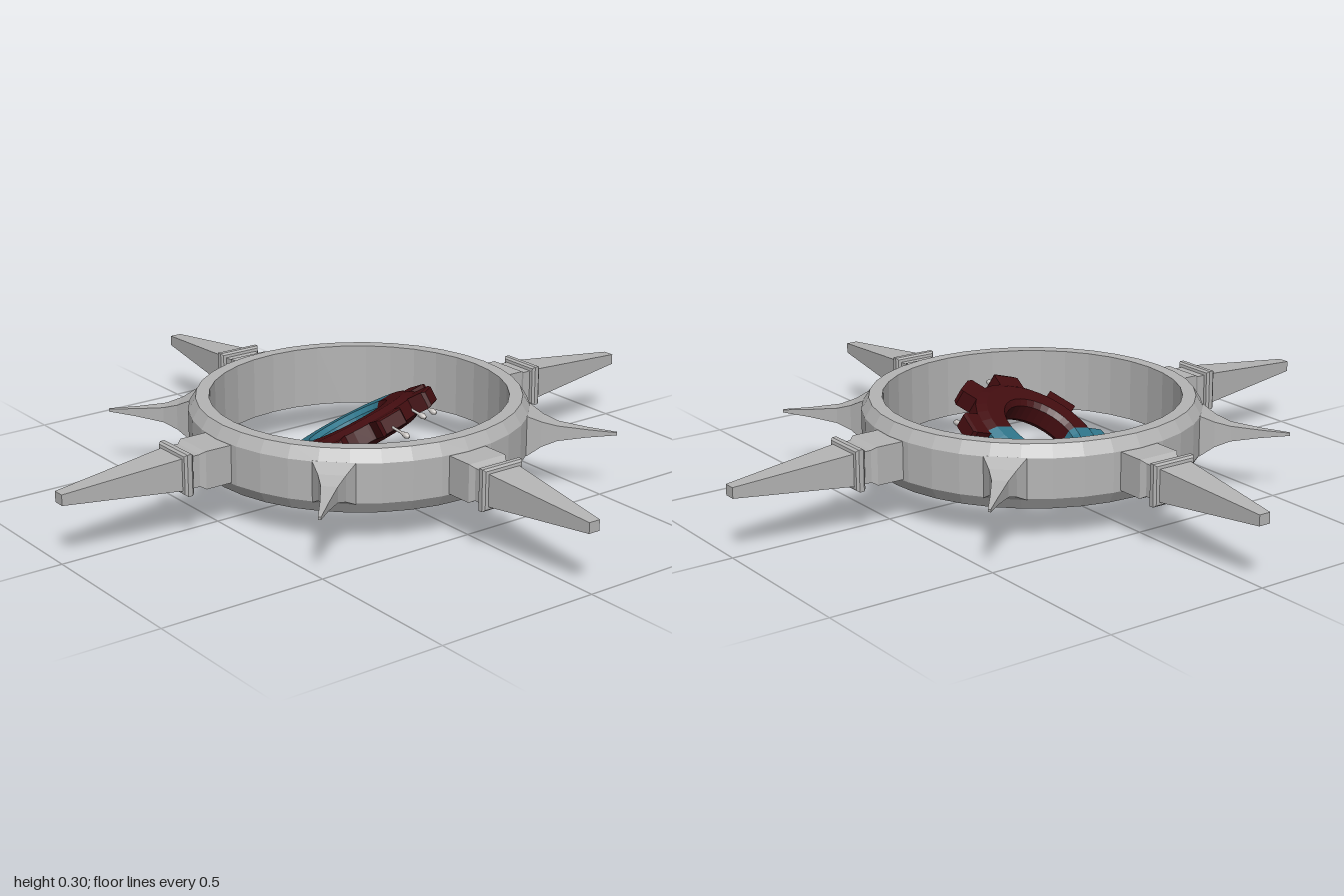
import * as THREE from 'three';

const metal = new THREE.MeshStandardMaterial({ color: 0xb4b4b4 });
metal.name = 'grey metal';
const blue = new THREE.MeshStandardMaterial({ color: 0x30768b });
blue.name = 'teal blue';
const red = new THREE.MeshStandardMaterial({ color: 0x430d10 });
red.name = 'dark red';
const pale = new THREE.MeshStandardMaterial({ color: 0xc9c5c2 });
pale.name = 'pale grey';

const rad = THREE.MathUtils.degToRad;

function flat(geometry) {
  const g = geometry.toNonIndexed();
  g.computeVertexNormals();
  return g;
}

function addMesh(parent, name, geometry, material) {
  const m = new THREE.Mesh(geometry, material);
  m.name = name;
  parent.add(m);
  return m;
}

// Revolved profile of [radius, height] pairs, with faceted faces
function lathe(points, segments, start = 0, length = Math.PI * 2) {
  const profile = points.map(([r, y]) => new THREE.Vector2(r, y));
  return flat(new THREE.LatheGeometry(profile, segments, start, length));
}

// Four-sided spike along +x from [half width, distance] pairs
function squareSpike(points, heightRatio) {
  const g = lathe(points.map(([w, d]) => [w * Math.SQRT2, d]), 4, Math.PI / 4);
  g.scale(heightRatio, 1, 1);
  g.rotateZ(-Math.PI / 2);
  g.computeVertexNormals();
  return g;
}

export function createModel() {
  const model = new THREE.Group();
  model.name = 'spikedRingWithGear';

  // Outer ring with chamfered rims
  const ring = new THREE.Group();
  ring.name = 'spikedRing';
  ring.position.y = 0.198;
  model.add(ring);
  addMesh(ring, 'outerRing', lathe([
    [0.437, -0.093], [0.476, -0.093], [0.498, -0.058], [0.498, 0.058],
    [0.476, 0.093], [0.437, 0.093], [0.437, -0.093],
  ], 36), metal);

  // Four long collared arms and four short flared thorns
  const armShape = squareSpike([
    [0, 0.46], [0.064, 0.46], [0.064, 0.575], [0.054, 0.59], [0.054, 0.616],
    [0.064, 0.617], [0.07, 0.624], [0.07, 0.638], [0.064, 0.645], [0.054, 0.646],
    [0.018, 1], [0, 1],
  ], 0.87);
  const thornShape = squareSpike([
    [0, 0.455], [0.06, 0.455], [0.06, 0.495], [0.038, 0.535], [0.023, 0.58],
    [0.012, 0.665], [0.004, 0.75], [0, 0.75],
  ], 1);
  for (let i = 0; i < 4; i++) {
    addMesh(ring, 'longArm', armShape, metal).rotation.y = rad(90 * i);
    addMesh(ring, 'thorn', thornShape, metal).rotation.y = rad(90 * i + 45);
  }

  // Tilted two-tone gear: front right raised, rear lowered
  const gear = new THREE.Group();
  gear.name = 'gear';
  const axisX = new THREE.Vector3(0.2275, 0.067, 0.006).normalize();
  const normal = new THREE.Vector3(-0.244, 0.866, -0.436);
  const axisZ = new THREE.Vector3().crossVectors(axisX, normal).normalize();
  normal.crossVectors(axisZ, axisX);
  gear.quaternion.setFromRotationMatrix(new THREE.Matrix4().makeBasis(axisX, normal, axisZ));
  gear.position.set(0, 0.158, -0.025);
  model.add(gear);

  const body = [
    [0.113, -0.025], [0.128, -0.04], [0.185, -0.04], [0.213, -0.024],
    [0.213, 0.024], [0.185, 0.04], [0.128, 0.04], [0.113, 0.025], [0.113, -0.025],
  ];
  addMesh(gear, 'rearGearHalf', lathe(body, 16, rad(98), Math.PI), blue);
  addMesh(gear, 'frontGearHalf', lathe(body, 16, rad(278), Math.PI), red);

  const toothShape = squareSpike([
    [0, 0.19], [0.044, 0.19], [0.044, 0.252], [0.036, 0.262], [0, 0.262],
  ], 0.58);
  for (let i = 0; i < 8; i++) {
    const isBlue = i >= 1 && i <= 4;
    const tooth = addMesh(gear, 'gearTooth', toothShape, isBlue ? blue : red);
    tooth.rotation.y = rad(45 * i);
  }

  // Small drop-ended pins pointing forward from the red teeth
  const pinShape = new THREE.LatheGeometry([
    [0, 0], [0.004, 0], [0.004, 0.08], [0.008, 0.094], [0.009, 0.103],
    [0.006, 0.112], [0, 0.115],
  ].map(([r, y]) => new THREE.Vector2(r, y)), 10);
  pinShape.rotateX(Math.PI / 2);
  const pins = [
    [-0.193, 0.185, 0.115], [-0.043, 0.255, 0.175],
    [0.083, 0.262, 0.092], [0.203, 0.222, -0.008],
  ];
  for (const [x, y, z] of pins) {
    const pin = addMesh(model, 'dropPin', pinShape, pale);
    pin.position.set(x, y, z);
    pin.rotation.x = 0.1;
  }

  return model;
}
